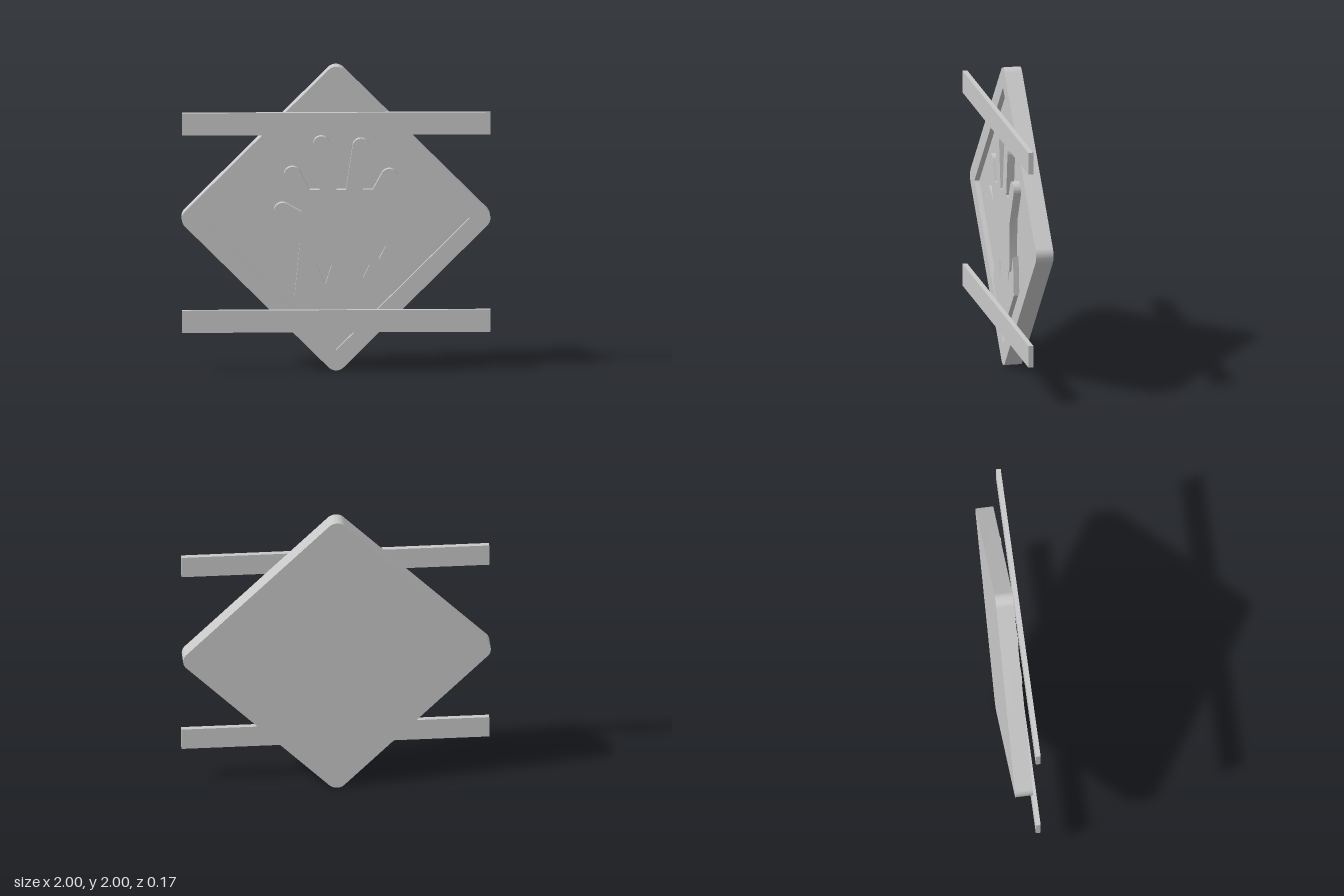
import * as THREE from 'three';
import { toCreasedNormals } from 'three/addons/utils/BufferGeometryUtils.js';

const rad = THREE.MathUtils.degToRad;
const lightGrey = new THREE.MeshStandardMaterial({ color: 0xc8c8c8 });
lightGrey.name = 'lightGrey';

// Extrudes a shape from z0 to z1, smooth on curves and sharp at corners
function slab(name, shape, z0, z1) {
  const geo = new THREE.ExtrudeGeometry(shape, { depth: z1 - z0, bevelEnabled: false, curveSegments: 12 });
  geo.translate(0, 0, z0);
  const mesh = new THREE.Mesh(toCreasedNormals(geo, 0.5), lightGrey);
  mesh.name = name;
  return mesh;
}

// Diamond with rounded tips that reach 1 unit from its middle
function roundedDiamond() {
  const r = 0.07, c = 1 - r, s = new THREE.Shape();
  for (let i = 0; i < 4; i++) {
    const a = i * Math.PI / 2;
    s.absarc(c * Math.cos(a), 1 + c * Math.sin(a), r, a - Math.PI / 4, a + Math.PI / 4, false);
  }
  s.closePath();
  return s;
}

// Open hand: fingertips are half circles joined by straight sides
function handShape() {
  const s = new THREE.Shape();
  const tip = (x, y, r, deg) => s.absarc(x, y, r, rad(deg + 90), rad(deg - 90), true);
  s.moveTo(-0.165, 0.7);
  s.quadraticCurveTo(-0.217, 0.7, -0.217, 0.755);
  s.lineTo(-0.217, 0.905);
  tip(-0.347, 1.052, 0.056, 148);
  s.lineTo(-0.22, 1.045);
  tip(-0.283, 1.29, 0.055, 115);
  s.lineTo(-0.173, 1.193);
  s.lineTo(-0.107, 1.193);
  tip(-0.096, 1.492, 0.053, 97);
  s.lineTo(0.003, 1.193);
  s.lineTo(0.064, 1.193);
  tip(0.16, 1.476, 0.053, 82);
  s.lineTo(0.174, 1.193);
  s.lineTo(0.238, 1.193);
  tip(0.344, 1.275, 0.054, 63);
  s.lineTo(0.281, 1.04);
  s.lineTo(0.278, 0.74);
  s.quadraticCurveTo(0.275, 0.695, 0.235, 0.695);
  s.closePath();
  return s;
}

export function createModel() {
  const group = new THREE.Group();

  // Diamond board with a sunken panel
  const frame = roundedDiamond();
  const d = 0.867;
  frame.holes.push(new THREE.Path([[d, 0], [0, -d], [-d, 0], [0, d]].map(([x, y]) => new THREE.Vector2(x, y + 1))));
  group.add(slab('backBoard', roundedDiamond(), -0.083, 0));
  group.add(slab('raisedBorder', frame, 0, 0.033));

  // Jagged cuff behind the palm
  const cuff = new THREE.Shape([
    [-0.08, 0.29], [0.08, 0.29], [0.345, 0.56], [0.32, 0.815], [0.28, 0.735], [0.22, 0.7],
    [0.175, 0.61], [0.155, 0.7], [0.06, 0.76], [-0.027, 0.7], [-0.07, 0.565], [-0.13, 0.7],
    [-0.2, 0.8], [-0.235, 0.835], [-0.27, 0.48],
  ].map(([x, y]) => new THREE.Vector2(x, y)));
  group.add(slab('cuff', cuff, 0, 0.037));

  group.add(slab('hand', handShape(), 0, 0.05));

  // Two horizontal bars in front
  for (const [name, y] of [['upperBar', 1.633], ['lowerBar', 0.333]]) {
    const bar = new THREE.Mesh(new THREE.BoxGeometry(2, 0.146, 0.032), lightGrey);
    bar.name = name;
    bar.position.set(0, y, 0.067);
    group.add(bar);
  }
  return group;
}
